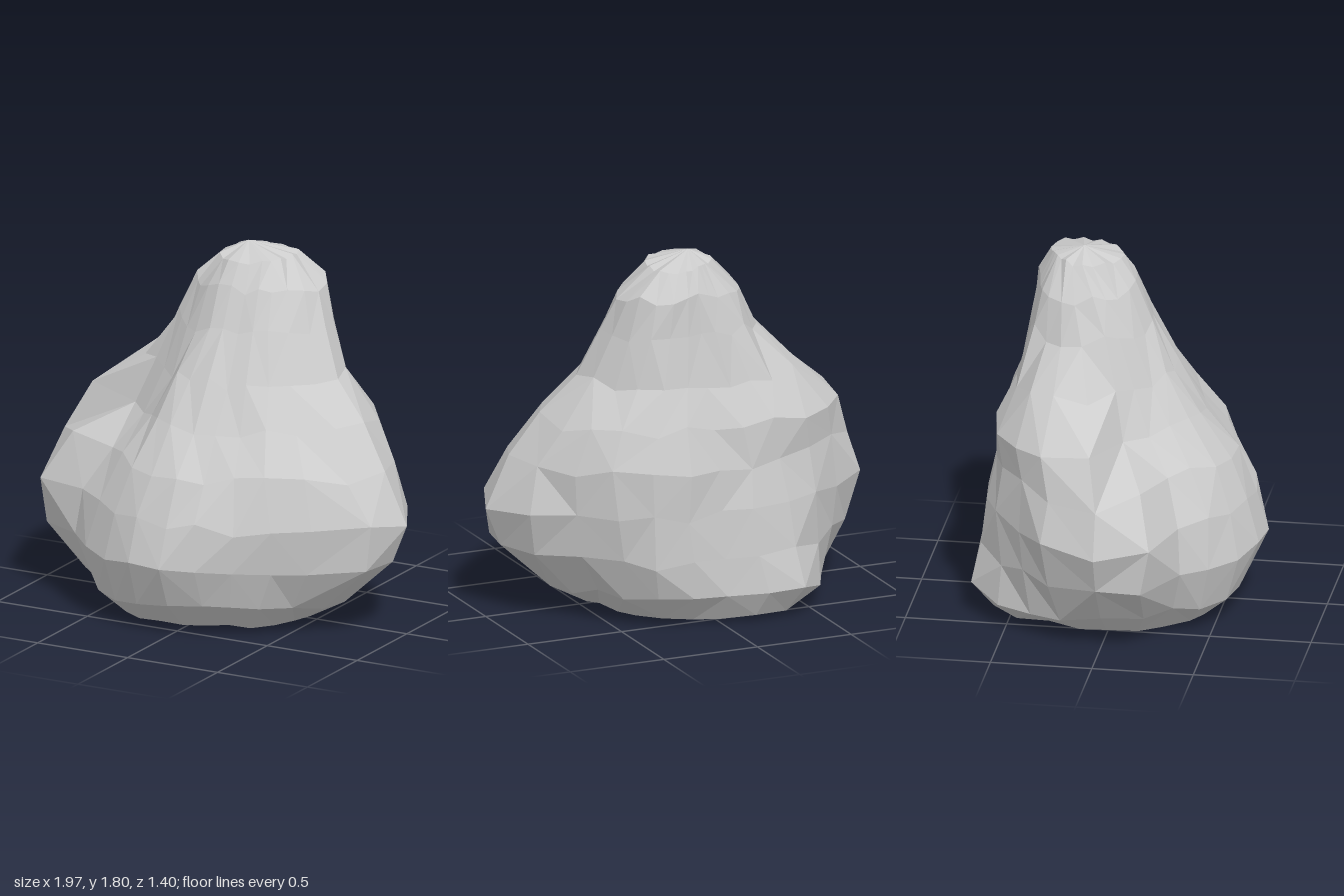
import * as THREE from 'three';

const SIDES = 24;

// Each ring: height, 12 radii every 30 degrees starting at +x and turning
// towards the front (+z), then the corner radii at 15 and 165 degrees.
// The jump between 165 and 180 degrees is the creased shoulder.
const RINGS = [
  [0.02, 0.46, 0.45, 0.43, 0.45, 0.50, 0.52, 0.57, 0.58, 0.68, 0.56, 0.52, 0.46, 0.46, 0.56],
  [0.14, 0.65, 0.61, 0.58, 0.61, 0.64, 0.66, 0.74, 0.73, 0.80, 0.66, 0.65, 0.62, 0.64, 0.71],
  [0.35, 0.91, 0.73, 0.64, 0.71, 0.71, 0.75, 0.91, 0.79, 0.75, 0.65, 0.71, 0.74, 0.90, 0.92],
  [0.57, 0.98, 0.76, 0.65, 0.65, 0.66, 0.72, 0.99, 0.82, 0.72, 0.63, 0.71, 0.77, 0.92, 0.95],
  [0.80, 0.85, 0.68, 0.54, 0.56, 0.57, 0.58, 0.93, 0.80, 0.67, 0.62, 0.71, 0.77, 0.79, 0.80],
  [1.00, 0.70, 0.55, 0.45, 0.45, 0.46, 0.46, 0.81, 0.77, 0.62, 0.52, 0.60, 0.66, 0.64, 0.52],
  [1.20, 0.52, 0.43, 0.37, 0.36, 0.38, 0.39, 0.55, 0.58, 0.46, 0.40, 0.45, 0.49, 0.47, 0.44],
  [1.43, 0.41, 0.35, 0.30, 0.29, 0.32, 0.34, 0.39, 0.37, 0.33, 0.29, 0.34, 0.40, 0.38, 0.36],
  [1.62, 0.34, 0.28, 0.26, 0.26, 0.28, 0.29, 0.31, 0.28, 0.23, 0.22, 0.28, 0.33, 0.31, 0.30],
  [1.75, 0.17, 0.18, 0.20, 0.23, 0.22, 0.20, 0.17, 0.13, 0.12, 0.13, 0.16, 0.18, 0.17, 0.18],
];

// Repeatable noise in -1..1 from a position
function noise(x, y, z) {
  const s = Math.sin(x * 127.1 + y * 311.7 + z * 74.7) * 43758.5453;
  return (s - Math.floor(s)) * 2 - 1;
}

// Radius at step k of 24: given, or a smooth value between its neighbours
function radiusAt(r, k, row) {
  if (k % 2 === 0) return r[k / 2];
  if (k === 1) return r[12];
  if (k === 11) return r[13];
  const i = (k - 1) / 2;
  const at = (j) => r[(j + 12) % 12];
  const mid = (9 * (at(i) + at(i + 1)) - at(i - 1) - at(i + 2)) / 16;
  return mid * (1 + 0.015 * noise(row, k, 2));
}

function rockGeometry() {
  const pos = [], index = [];
  const top = RINGS.length - 1;
  RINGS.forEach(([y, ...radii], row) => {
    const cz = -0.25 * Math.max(0, y - 0.8); // the peak leans back
    for (let k = 0; k < SIDES; k++) {
      const a = (k / SIDES) * Math.PI * 2 + 0.04 * (k % 2) * noise(row, k, 1);
      const r = radiusAt(radii, k, row);
      const lift = (row > 0 && row < top ? 0.03 : 0.012) * noise(row, k, 3);
      pos.push(0.035 * y + r * Math.cos(a), y + lift, cz + r * Math.sin(a));
    }
  });

  // Side facets, with the diagonal varied so they look chipped
  const last = top * SIDES;
  const bottom = pos.length / 3;
  pos.push(0.1, 0, -0.05, 0.01, 1.805, -0.2);
  for (let k = 0; k < SIDES; k++) {
    const n = (k + 1) % SIDES;
    for (let row = 0; row < top; row++) {
      const a = row * SIDES + k, b = row * SIDES + n;
      const c = a + SIDES, d = b + SIDES;
      if (noise(row, k, 4) > 0) index.push(a, c, b, b, c, d);
      else index.push(a, c, d, a, d, b);
    }
    // Base and summit
    index.push(bottom, k, n, bottom + 1, last + n, last + k);
  }
  const g = new THREE.BufferGeometry();
  g.setAttribute('position', new THREE.Float32BufferAttribute(pos, 3));
  g.setIndex(index);
  g.computeVertexNormals();
  return g;
}

export function createModel() {
  const model = new THREE.Group();
  model.name = 'boulder';
  const stone = new THREE.MeshStandardMaterial({ color: 0xcccccc, flatShading: true });
  const rock = new THREE.Mesh(rockGeometry(), stone);
  rock.name = 'rock';
  model.add(rock);
  return model;
}
